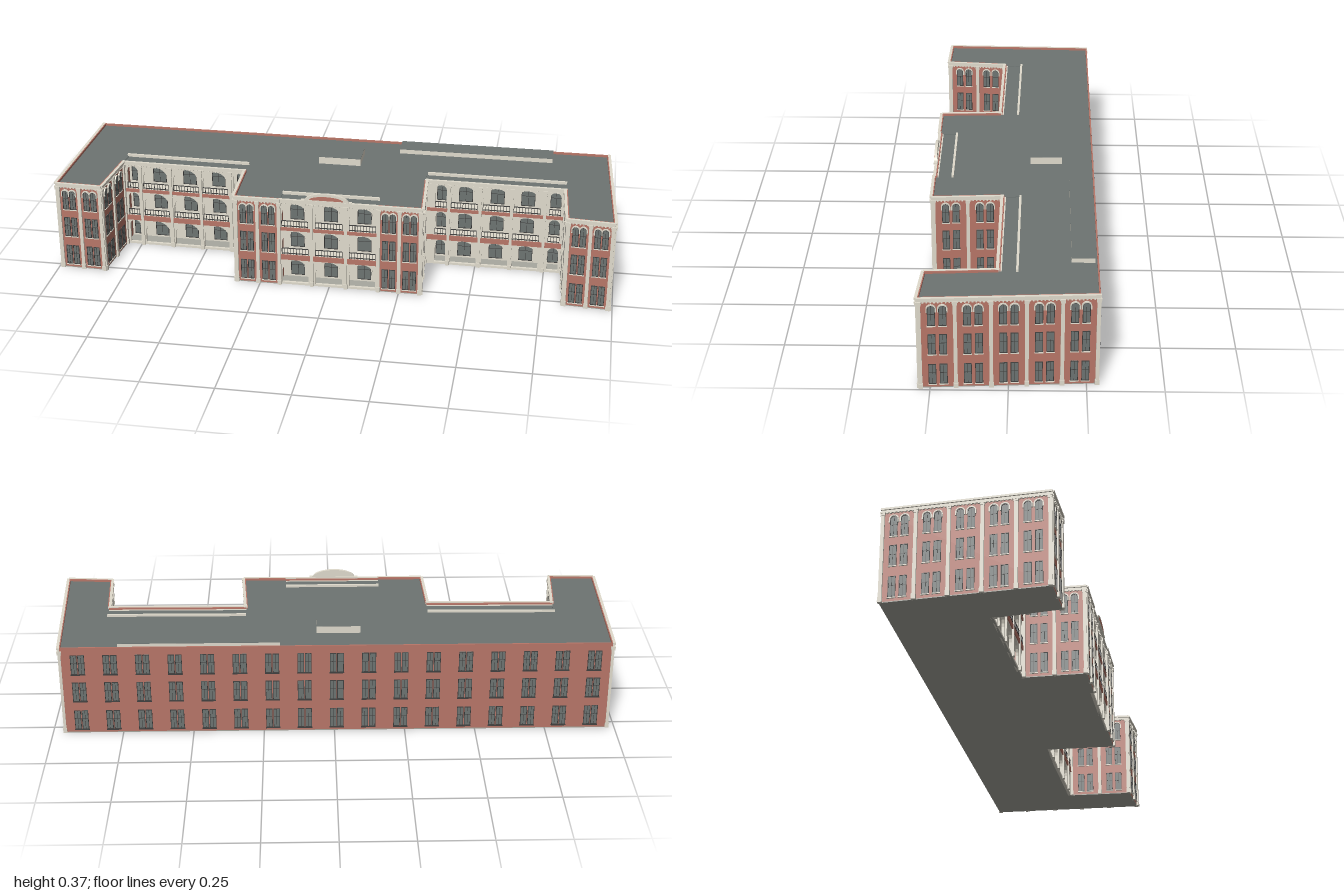
import * as THREE from 'three';
import { mergeGeometries } from 'three/addons/utils/BufferGeometryUtils.js';

const material = (name, color) => Object.assign(new THREE.MeshStandardMaterial({ color }), { name });
const brick = material('brick', 0xb87668);
const cream = material('cream stone', 0xe0dbcd);
const slate = material('roof grey', 0x6d7472);
const glass = material('window glass', 0x6d7472);
const iron = material('dark iron', 0x40403f);
const base = material('foundation', 0xa8a89f);

const ROOF = 0.326, TOP = 0.338;
const ROWS = [[0.015, 0.075, false], [0.127, 0.075, false], [0.234, 0.075, true]];

function add(parent, name, geometry, mat) {
  const mesh = new THREE.Mesh(geometry, mat);
  mesh.name = name;
  parent.add(mesh);
  return mesh;
}

// Box given by its centre in x and z and its bottom in y
const boxGeo = (w, h, d, x, y, z) => new THREE.BoxGeometry(w, h, d).translate(x, y + h / 2, z);
const box = (parent, name, mat, ...dims) => add(parent, name, boxGeo(...dims), mat);
const boxes = (parent, name, mat, list) => add(parent, name, mergeGeometries(list.map(d => boxGeo(...d))), mat);
const extrude = (shape, depth) =>
  new THREE.ExtrudeGeometry(shape, { depth, bevelEnabled: false, curveSegments: 6 });

// Upright opening outline with a flat or round head
function opening(path, x, y, w, h, round) {
  const r = w / 2;
  path.moveTo(x - r, y);
  path.lineTo(x + r, y);
  if (round) path.lineTo(x + r, y + h - r).absarc(x, y + h - r, r, 0, Math.PI, false);
  else path.lineTo(x + r, y + h).lineTo(x - r, y + h);
  path.lineTo(x - r, y);
  return path;
}

// Cream hood around a round window head
function hood(w, h) {
  const r = w / 2, R = r + 0.004, s = h - r, foot = s - 0.012;
  const shape = new THREE.Shape();
  shape.moveTo(R, foot).lineTo(R, s).absarc(0, s, R, 0, Math.PI, false);
  shape.lineTo(-R, foot).lineTo(-r, foot).lineTo(-r, s).absarc(0, s, r, Math.PI, 0, true);
  shape.lineTo(r, foot);
  return extrude(shape, 0.005);
}

const cache = {};
function windowGeometry(w, h, round) {
  const key = [w, h, round].join();
  if (cache[key]) return cache[key];
  const pane = extrude(opening(new THREE.Shape(), 0, 0, w, h, round), 0.001);
  const rim = opening(new THREE.Shape(), 0, 0, w, h, round);
  rim.holes.push(opening(new THREE.Path(), 0, 0.002, w - 0.004, h - 0.004, round));
  const bars = [
    boxGeo(0.0012, h - 0.002, 0.002, 0, 0.001, 0.001),
    boxGeo(w - 0.002, 0.0015, 0.002, 0, h * 0.55, 0.001),
  ].map(g => g.toNonIndexed());
  const frame = mergeGeometries([extrude(rim, 0.003), ...bars]);
  const sill = boxGeo(w + 0.003, 0.003, 0.005, 0, -0.003, 0.0025).toNonIndexed();
  const trim = round ? mergeGeometries([sill, hood(w, h)]) : sill;
  return (cache[key] = mergeGeometries([pane, frame, trim], true));
}
function addWindow(parent, x, y, z, w, h, round, trim = cream) {
  add(parent, 'window', windowGeometry(w, h, round), [glass, iron, trim]).position.set(x, y, z);
}

// Group whose local x runs from a to b and whose local z points outward
function alongWall(root, name, [ax, az], [bx, bz]) {
  const group = new THREE.Group();
  group.name = name;
  group.position.set(ax, 0, az);
  group.rotation.y = Math.atan2(az - bz, bx - ax);
  root.add(group);
  return [group, Math.hypot(bx - ax, bz - az)];
}

function cornice(group, L) {
  box(group, 'cornice', cream, L + 0.006, 0.007, 0.01, L / 2, 0.3315, 0.004);
  box(group, 'frieze', cream, L + 0.004, 0.0095, 0.005, L / 2, 0.322, 0.002);
  const n = Math.max(2, Math.round(L / 0.012)), teeth = [];
  for (let i = 0; i < n; i++) teeth.push([0.005, 0.004, 0.007, (i + 0.5) * L / n, 0.319, 0.0025]);
  boxes(group, 'dentils', cream, teeth);
}

function pilasters(group, xs, width) {
  boxes(group, 'pilasters', cream, xs.flatMap(x => [
    [width, 0.31, 0.01, x, 0.012, 0.001],
    [width + 0.003, 0.018, 0.014, x, 0, 0.001],
    [width + 0.003, 0.007, 0.014, x, 0.311, 0.001],
    [width + 0.005, 0.006, 0.016, x, 0.318, 0.001],
  ]));
}

// Brick wall with evenly spaced bays holding paired windows of width w
function facade(root, name, a, b, bays, w, gap, dressed = true) {
  const [group, L] = alongWall(root, name, a, b), step = (L - 0.008) / bays;
  box(group, 'parapet', brick, L, TOP - ROOF, 0.005, L / 2, ROOF, -0.002);
  if (dressed) {
    cornice(group, L);
    pilasters(group, Array.from({ length: bays + 1 }, (_, i) => 0.004 + i * step), 0.012);
  }
  for (let i = 0; i < bays; i++)
    for (const [y, h, round] of ROWS)
      for (const side of [-1, 1])
        addWindow(group, 0.004 + (i + 0.5) * step + side * gap / 2, y, 0, w, h,
          round && dressed, dressed ? cream : iron);
}

// Arcaded balconies: bays are [x, width] of each arch
function loggia(root, name, a, b, depth, bays) {
  const [group, L] = alongWall(root, name, a, b);
  const screen = new THREE.Shape();
  screen.moveTo(0, 0).lineTo(L, 0).lineTo(L, 0.33).lineTo(0, 0.33).lineTo(0, 0);
  const levels = [[0.008, 0.09], [0.121, 0.09], [0.229, 0.089]];
  const rails = [];
  for (const [x, w] of bays) levels.forEach(([y, h], floor) => {
    screen.holes.push(opening(new THREE.Path(), x, y, w, h, true));
    addWindow(group, x, y + 0.006, 0.006 - depth, Math.min(w, 0.05), 0.07, true);
    if (!floor) return;
    // Balcony railing
    for (const dy of [0.003, 0.023]) rails.push([w, 0.0025, 0.003, x, y + dy, 0.002]);
    const n = Math.round(w / 0.011);
    for (let i = 0; i <= n; i++) rails.push([0.0016, 0.024, 0.002, x + (i / n - 0.5) * w, y, 0.002]);
  });
  add(group, 'arcade screen', extrude(screen, 0.01), cream).position.z = -0.01;
  boxes(group, 'balcony railings', iron, rails);
  // Inner parts run slightly into the neighbouring walls
  const W = L + 0.012, mid = L / 2, back = -depth / 2 - 0.001;
  box(group, 'inner wall', cream, W, 0.32, 0.012, mid, 0.002, -depth);
  box(group, 'ground floor', base, W, 0.006, depth, mid, 0, back);
  for (const [y, h] of [[0.1, 0.019], [0.215, 0.012]]) {
    box(group, 'balcony slab', cream, W, h, depth, mid, y, back);
    box(group, 'balcony brick band', brick, L, h, 0.006, mid, y, 0.001);
  }
  box(group, 'balcony roof', slate, W, 0.008, depth, mid, 0.32, back - 0.001);
  box(group, 'back parapet', cream, L, TOP - 0.322, 0.008, mid, 0.322, -depth);
  box(group, 'front parapet', brick, L, 0.006, 0.005, mid, 0.33, -0.003);
  cornice(group, L);
  const between = bays.slice(1).map(([x, w], i) => (x - w / 2 + bays[i][0] + bays[i][1] / 2) / 2);
  pilasters(group, between, 0.01);
}

export function createModel() {
  const root = new THREE.Group();
  root.name = 'brick building';

  // Footprint, anticlockwise from the front of the right wing
  const P = [[-0.988, 0.266], [-0.825, 0.271], [-0.8, -0.02], [-0.345, -0.012], [-0.337, 0.275], [-0.175, 0.275],
    [-0.175, 0.212], [0.172, 0.212], [0.172, 0.275], [0.328, 0.275], [0.31, -0.03], [0.81, -0.025],
    [0.828, 0.272], [0.988, 0.284], [0.956, -0.288], [-0.972, -0.288]];
  const plan = new THREE.Shape(P.map(([x, z]) => new THREE.Vector2(x, -z)));
  const storey = (name, mat, y0, y1) =>
    add(root, name, extrude(plan, y1 - y0).rotateX(-Math.PI / 2).translate(0, y0, 0), mat);
  storey('foundation', base, 0, 0.003);
  storey('brick body', brick, 0.003, ROOF);
  storey('roof', slate, ROOF, ROOF + 0.004);

  // Outer walls
  facade(root, 'right wing front', P[0], P[1], 2, 0.022, 0.026);
  facade(root, 'left wing front', P[12], P[13], 2, 0.022, 0.026);
  facade(root, 'centre front right', P[4], P[5], 2, 0.022, 0.026);
  facade(root, 'centre front left', P[8], P[9], 2, 0.022, 0.026);
  facade(root, 'left side', P[13], P[14], 5, 0.025, 0.036);
  facade(root, 'right side', P[15], P[0], 5, 0.025, 0.036);
  facade(root, 'back wall', P[14], P[15], 17, 0.023, 0.026, false);

  // Court walls and the arcades between them
  const R0 = [-0.806, 0.045], R1 = [-0.344, 0.052], L0 = [0.3135, 0.03], L1 = [0.814, 0.034];
  facade(root, 'right wing court wall', P[1], R0, 2, 0.025, 0.036);
  facade(root, 'centre right court wall', R1, P[4], 2, 0.025, 0.036);
  facade(root, 'centre left court wall', P[9], L0, 2, 0.025, 0.036);
  facade(root, 'left wing court wall', L1, P[12], 2, 0.025, 0.036);
  loggia(root, 'right balconies', R0, R1, 0.065,
    [[0.034, 0.04], [0.121, 0.094], [0.236, 0.096], [0.346, 0.094], [0.434, 0.036]]);
  loggia(root, 'left balconies', L0, L1, 0.06,
    [[0.056, 0.04], [0.141, 0.094], [0.256, 0.096], [0.366, 0.094], [0.466, 0.04]]);
  loggia(root, 'centre balconies', [-0.175, 0.272], [0.172, 0.272], 0.06,
    [[0.053, 0.094], [0.174, 0.096], [0.294, 0.094]]);

  // Curved gable over the entrance
  const half = (rx, ry) => new THREE.Shape().absellipse(0, 0, rx, ry, 0, Math.PI, false);
  add(root, 'gable', extrude(half(0.08, 0.033), 0.01), cream).position.set(-0.008, 0.337, 0.273);
  add(root, 'gable panel', extrude(half(0.06, 0.015), 0.002), brick).position.set(-0.008, 0.345, 0.282);
  box(root, 'gable foot', cream, 0.18, 0.006, 0.014, -0.008, 0.336, 0.277);

  // Rooftop housings
  for (const [x, z, w, d, top] of [[-0.016, -0.119, 0.155, 0.113, 0.357], [0.472, -0.239, 0.565, 0.077, 0.347]]) {
    box(root, 'rooftop housing', cream, w, top - ROOF - 0.001, d, x, ROOF, z);
    box(root, 'housing roof', slate, w, 0.001, d, x, top - 0.001, z);
  }
  return root;
}
